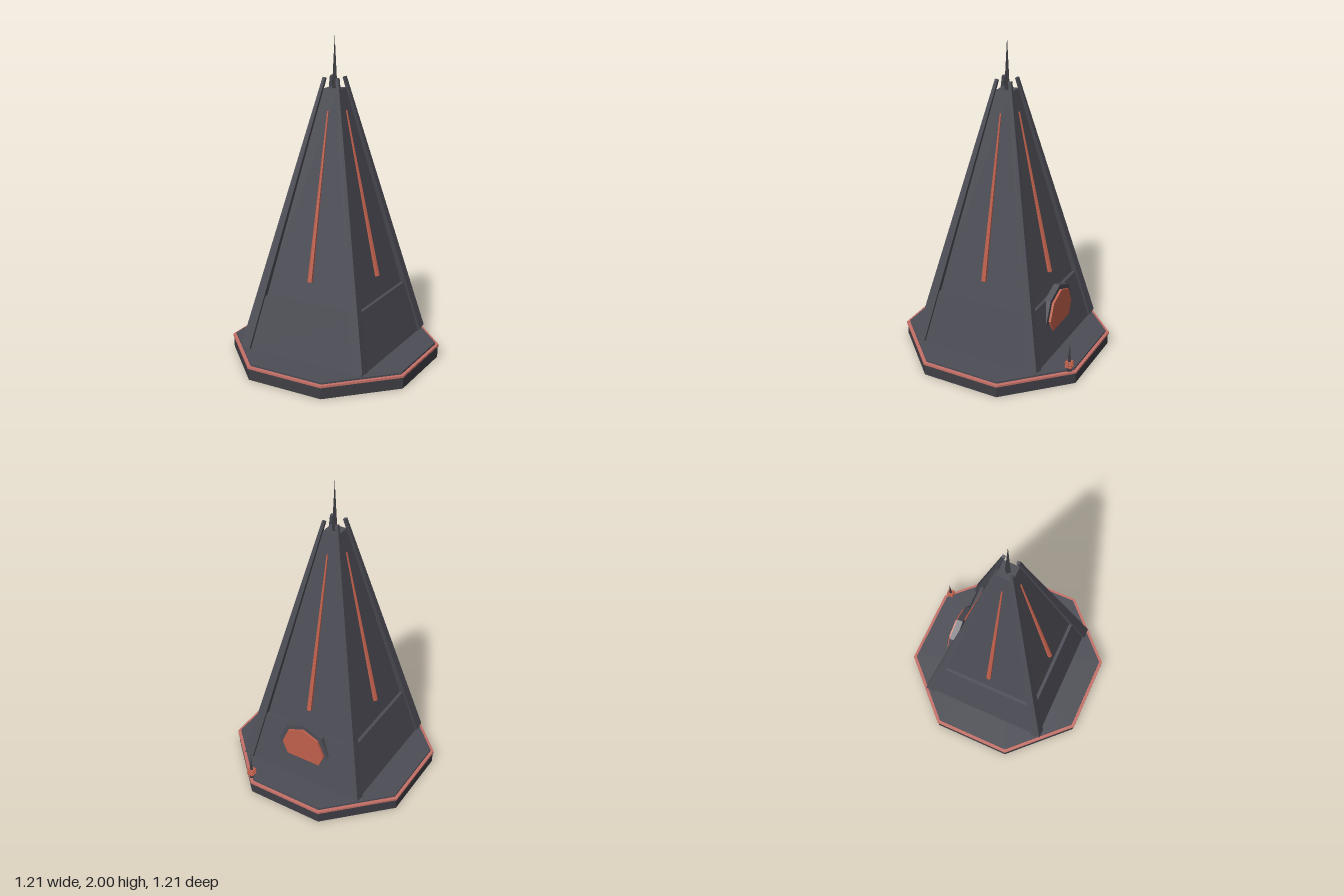
import * as THREE from 'three';

const mat = (name, color) => {
  const m = new THREE.MeshStandardMaterial({ color, flatShading: true });
  m.name = name;
  return m;
};

export function createModel() {
  const model = new THREE.Group();
  model.name = 'spireTower';

  const hull = mat('hull grey', 0x4c4c55);
  const dark = mat('dark grey', 0x3e3e45);
  const glow = mat('glow red', 0xc0604c);
  const rimRed = mat('rim red', 0xc47067);

  const add = (name, geometry, material, parent = model) => {
    const mesh = new THREE.Mesh(geometry, material);
    mesh.name = name;
    parent.add(mesh);
    return mesh;
  };

  // Regular prism or frustum between two heights; sizes are half-widths across the flats
  const prism = (sides, bottom, top, y0, y1) => {
    const k = 1 / Math.cos(Math.PI / sides);
    return new THREE.CylinderGeometry(top * k, bottom * k, y1 - y0, sides)
      .rotateY(Math.PI / sides)
      .translate(0, (y0 + y1) / 2, 0);
  };

  // Tapered bar running from point a to point b
  const bar = (a, b, ra, rb, sides, turn) => {
    const dir = b.clone().sub(a);
    const q = new THREE.Quaternion().setFromUnitVectors(new THREE.Vector3(0, 1, 0), dir.clone().normalize());
    const mid = a.clone().add(b).multiplyScalar(0.5);
    return new THREE.CylinderGeometry(rb, ra, dir.length(), sides)
      .rotateY(turn)
      .applyQuaternion(q)
      .translate(mid.x, mid.y, mid.z);
  };

  // Octagonal platform with a red rim
  add('platform', prism(8, 0.6, 0.6, 0, 0.072), dark);
  add('platformRim', prism(8, 0.606, 0.606, 0.072, 0.085), rimRed);
  add('platformDeck', prism(8, 0.586, 0.586, 0.085, 0.096), hull);

  // Square tapering body in two stages
  add('lowerBody', prism(4, 0.41, 0.335, 0.095, 0.435), hull);
  add('upperBody', prism(4, 0.315, 0.05, 0.435, 1.69), hull);

  // Spire on the roof
  add('spire', new THREE.ConeGeometry(0.018, 0.31, 4).translate(0, 1.845, 0), dark);

  // Corner struts and the light strip on each face
  const strut = bar(new THREE.Vector3(0.393, 0.105, 0.393), new THREE.Vector3(0.043, 1.755, 0.043),
    0.045, 0.013, 4, Math.PI / 4);
  const strip = bar(new THREE.Vector3(0, 0.568, 0.297), new THREE.Vector3(0, 1.565, 0.08),
    0.016, 0.005, 6, 0);
  for (let i = 0; i < 4; i++) {
    add('cornerStrut', strut, hull).rotation.y = i * Math.PI / 2;
    add('lightStrip', strip, glow).rotation.y = i * Math.PI / 2;
  }

  // Octagonal portal low on the back, half sunk into the wall
  const disc = (r, z0, z1) => new THREE.CylinderGeometry(r, r, z1 - z0, 8)
    .rotateX(Math.PI / 2)
    .translate(0, 0.31, (z0 + z1) / 2);
  add('portalFrame', disc(0.18, -0.367, -0.327), hull);
  add('portalGlow', disc(0.15, -0.381, -0.366), glow);

  // Small antenna on the platform edge
  const antenna = new THREE.Group();
  antenna.name = 'antenna';
  antenna.position.set(0.268, 0.09, -0.565);
  model.add(antenna);
  add('antennaMast', new THREE.ConeGeometry(0.018, 0.19, 4).translate(0, 0.095, 0), dark, antenna);
  for (let i = 0; i < 3; i++) {
    add('antennaRing', new THREE.BoxGeometry(0.042, 0.005, 0.042), glow, antenna)
      .position.y = 0.03 + i * 0.016;
  }

  return model;
}
